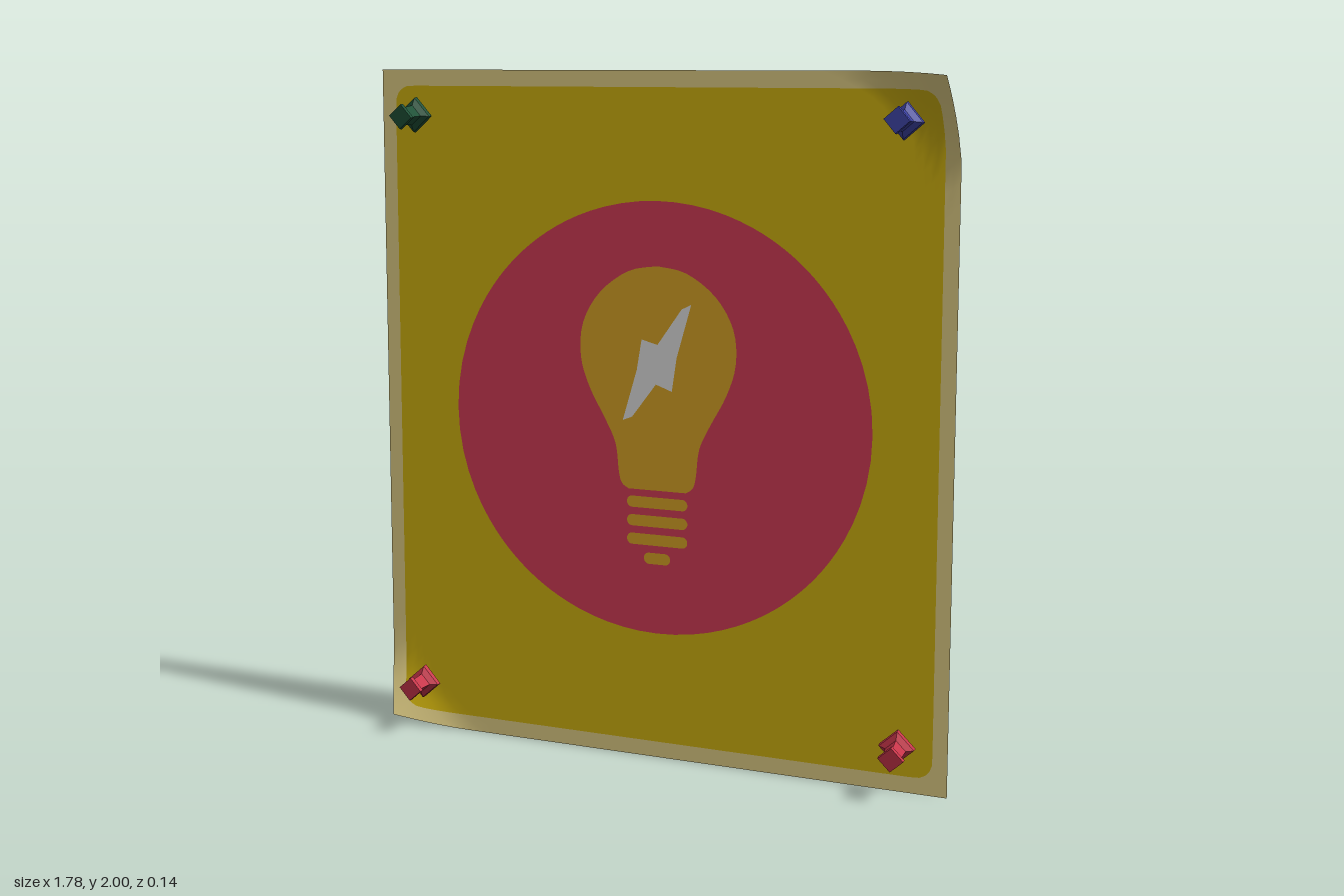
import * as THREE from 'three';

const Z = -0.057, W = 0.89, CY = 1, PER_SIDE = 32;

const mat = (name, color, extra = {}) => {
  const m = new THREE.MeshStandardMaterial({ color, ...extra });
  m.name = name;
  return m;
};

// Curl two opposite corners of the sheet toward the front
function bend([x, y]) {
  let z = Z, bx = x, by = y;
  const a = Math.max(0, 1 - (W - x) / 0.28 - (2 - y) / 0.25);
  const b = Math.max(0, 1 - (x + W) / 0.27 - y / 0.24);
  z += 0.105 * a ** 1.3 + 0.04 * b ** 1.2;
  bx += -0.014 * a ** 2 + 0.018 * b ** 1.5;
  by += -0.01 * a ** 2 + 0.03 * b ** 1.5;
  return [bx, by, z];
}

// Counter-clockwise rectangle outline, sampled densely near its corners
function rectLoop(hw, hh, r = 0) {
  const loop = [];
  for (let side = 0; side < 4; side++) {
    for (let i = 0; i < PER_SIDE; i++) {
      const s = Math.sin((i / PER_SIDE - 0.5) * Math.PI);
      let [x, y] = [[s, -1], [1, s], [-s, 1], [-1, -s]][side];
      x *= hw; y *= hh;
      const cx = Math.sign(x) * (hw - r), cy = Math.sign(y) * (hh - r);
      if (r && Math.abs(x) > hw - r && Math.abs(y) > hh - r) {
        const len = Math.hypot(x - cx, y - cy);
        x = cx + (x - cx) * r / len;
        y = cy + (y - cy) * r / len;
      }
      loop.push([x, y + CY]);
    }
  }
  return loop;
}

// Surface between two outlines, following the curl of the sheet
function band(outer, inner, steps) {
  const n = outer.length, pos = [], idx = [];
  for (let k = 0; k <= steps; k++) {
    const t = k / steps;
    for (let i = 0; i < n; i++) {
      pos.push(...bend([0, 1].map(c => outer[i][c] * (1 - t) + inner[i][c] * t)));
      if (k === steps) continue;
      const a = k * n + i, b = k * n + (i + 1) % n;
      idx.push(a, b, a + n, b, b + n, a + n);
    }
  }
  const g = new THREE.BufferGeometry();
  g.setAttribute('position', new THREE.Float32BufferAttribute(pos, 3));
  g.setIndex(idx);
  g.computeVertexNormals();
  return g;
}

const toVec = pts => pts.map(([x, y]) => new THREE.Vector2(x, y));

// Bulb outline: a smooth half profile, mirrored
function bulbOutline() {
  const half = new THREE.SplineCurve(toVec([
    [0, 1.45], [0.09, 1.433], [0.18, 1.37], [0.235, 1.28], [0.243, 1.18], [0.215, 1.09],
    [0.165, 1.0], [0.132, 0.93], [0.122, 0.85], [0.112, 0.815], [0.09, 0.8]])).getPoints(40);
  const left = half.slice(1).reverse().map(p => new THREE.Vector2(-p.x, p.y));
  return [...half, ...left].map(p => p.set(p.x + 0.004, p.y));
}

// Rounded horizontal bar for the screw base
function barOutline(y, hw, h) {
  const pts = [];
  for (let i = 0; i < 16; i++) {
    const a = (i + 0.5) / 16 * Math.PI * 2, c = Math.cos(a);
    pts.push(new THREE.Vector2(0.004 + Math.sign(c) * (hw - h) + c * h, y + Math.sin(a) * h));
  }
  return pts;
}

function flat(outline, holes = []) {
  const s = new THREE.Shape(outline);
  s.holes = holes.map(h => new THREE.Path(h));
  return new THREE.ShapeGeometry(s).translate(0, 0, Z);
}

export function createModel() {
  const root = new THREE.Group();
  root.name = 'pinnedPoster';
  const two = { side: THREE.DoubleSide };
  const cream = mat('cream', 0xe8d58a, two);
  const yellow = mat('yellow', 0xd6b70e, two);
  const pink = mat('pink', 0xda3d58, two);
  const amber = mat('amber', 0xdfa826, two);
  const white = mat('white', 0xf2f2f2, two);
  const green = mat('green', 0x1f5238, { flatShading: true });
  const blue = mat('blue', 0x3d42a2, { flatShading: true });
  const red = mat('red', 0xc8354a, { flatShading: true });
  const steel = mat('dark steel', 0x3a3a3a, { flatShading: true });

  const add = (parent, name, geo, m) => {
    const mesh = new THREE.Mesh(geo, m);
    mesh.name = name;
    parent.add(mesh);
    return mesh;
  };

  // Paper: border, yellow field and round panel
  const edge = rectLoop(W, 1);
  const field = rectLoop(0.846, 0.953, 0.05);
  const disc = field.map(([x, y]) => {
    const a = Math.atan2(y - CY, x);
    return [0.003 + 0.652 * Math.cos(a), 1.005 + 0.63 * Math.sin(a)];
  });
  add(root, 'paperBorder', band(edge, field, 2), cream);
  add(root, 'paperField', band(field, disc, 18), yellow);

  // Light bulb picture, cut into the round panel
  const bulb = bulbOutline();
  const bolt = toVec([[0.11, 1.345], [0.08, 1.33], [0.005, 1.225], [-0.045, 1.238], [-0.06, 1.15],
    [-0.105, 1.0], [-0.075, 1.012], [0, 1.11], [0.05, 1.092], [0.065, 1.19]]);
  const bars = [0.763, 0.708, 0.653].map(y => barOutline(y, 0.096, 0.017));
  bars.push(barOutline(0.598, 0.042, 0.017));
  add(root, 'roundPanel', flat(toVec(disc), [bulb, ...bars]), pink);
  add(root, 'bulbGlass', flat(bulb, [bolt]), amber);
  bars.forEach((b, i) => add(root, 'bulbThread' + (i + 1), flat(b), amber));
  add(root, 'lightningBolt', flat(bolt), white);

  // Four-sided push pins, slightly tilted
  const body = new THREE.LatheGeometry(toVec([[0, -0.028], [0.052, -0.028], [0.05, -0.014],
    [0.029, -0.002], [0.026, 0.044], [0.037, 0.054], [0.036, 0.068], [0, 0.068]]), 4);
  body.rotateX(Math.PI / 2);
  const needle = new THREE.CylinderGeometry(0.005, 0.002, 0.045, 6);
  needle.rotateX(Math.PI / 2).translate(0, 0, -0.047);
  [
    ['pinTopRight', -0.76, 1.868, green, 0.04, 0.02],
    ['pinTopLeft', 0.745, 1.87, blue, -0.05, 0.05],
    ['pinBottomRight', -0.762, 0.148, red, 0.03, 0.02],
    ['pinBottomLeft', 0.756, 0.138, red, 0.12, 0.12],
  ].forEach(([name, x, y, m, rx, ry]) => {
    const pin = new THREE.Group();
    pin.name = name;
    pin.position.set(x, y, 0);
    pin.rotation.set(rx, ry, -0.07);
    add(pin, 'pinBody', body, m);
    add(pin, 'pinNeedle', needle, steel);
    root.add(pin);
  });
  return root;
}
